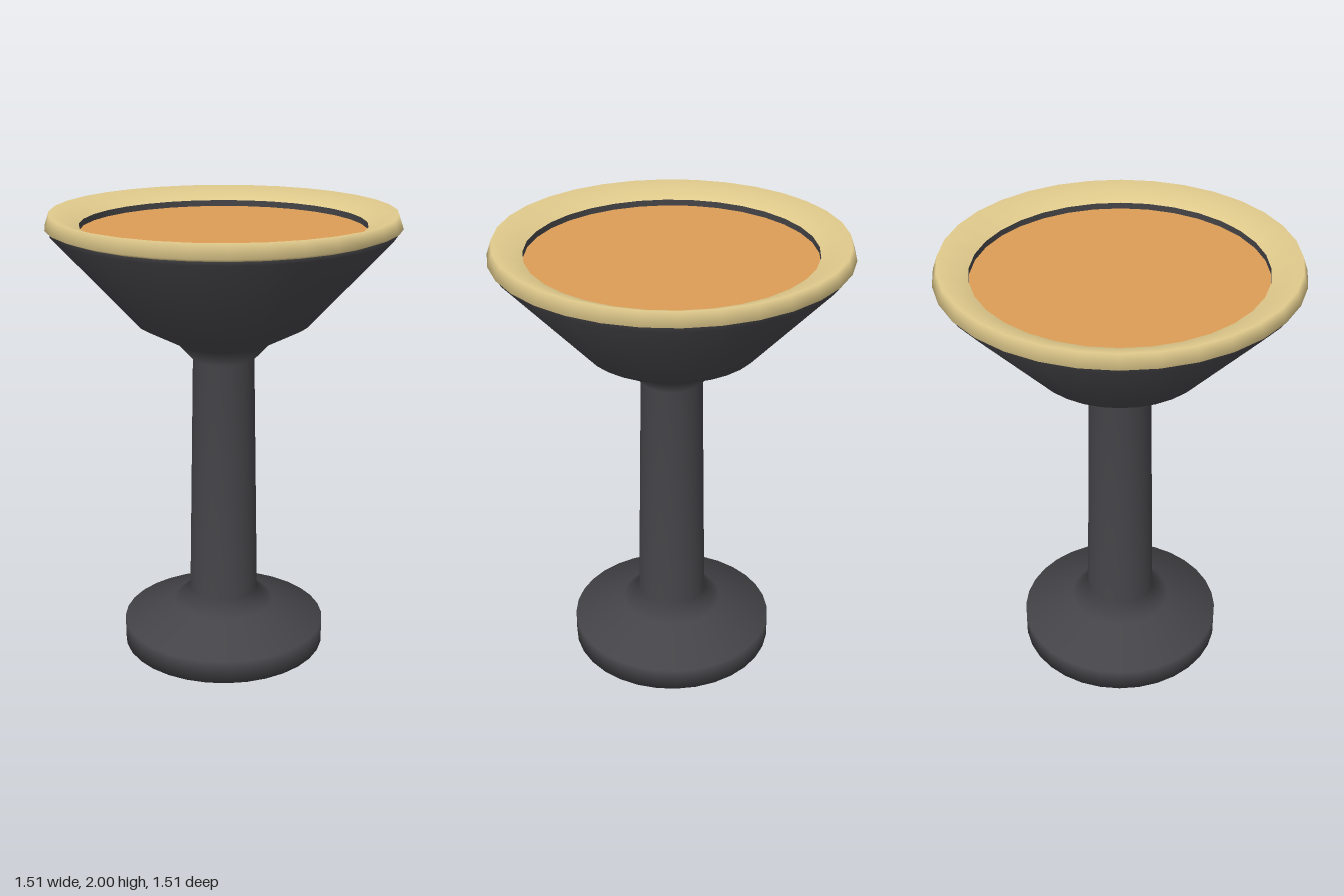
import * as THREE from 'three';

const SEGMENTS = 32;

// Turns a list of [radius, height] pairs, bottom to top, into a named mesh.
function turned(name, profile, color) {
  const points = profile.map(([r, y]) => new THREE.Vector2(r, y));
  const mesh = new THREE.Mesh(
    new THREE.LatheGeometry(points, SEGMENTS),
    new THREE.MeshStandardMaterial({ color, side: THREE.DoubleSide })
  );
  mesh.name = name;
  return mesh;
}

export function createModel() {
  const model = new THREE.Group();
  model.name = 'pedestalStool';
  const dark = 0x444347, gold = 0xe0ca8c, orange = 0xdd9d56;

  // Foot, tapering stem and flared bowl in one turned piece
  model.add(turned('pedestal', [
    [0, 0], [0.46, 0], [0.46, 0.105],
    [0.23, 0.19], [0.155, 0.255],
    [0.135, 1.355], [0.21, 1.435],
    [0.38, 1.525], [0.735, 1.915], [0.61, 1.917]
  ], dark));

  // Short dark wall between the rim and the sunken top
  model.add(turned('innerWall', [[0.612, 1.947], [0.612, 1.915]], dark));

  // Rim: bevelled outside, sloping inwards on top
  model.add(turned('rim', [
    [0.615, 1.925], [0.71, 1.925], [0.755, 1.942],
    [0.735, 2.0], [0.61, 1.947]
  ], gold));

  // Flat round top set inside the rim
  const top = new THREE.Mesh(
    new THREE.CircleGeometry(0.61, SEGMENTS).rotateX(-Math.PI / 2),
    new THREE.MeshStandardMaterial({ color: orange, side: THREE.DoubleSide })
  );
  top.name = 'topSurface';
  top.position.y = 1.92;
  model.add(top);

  return model;
}
